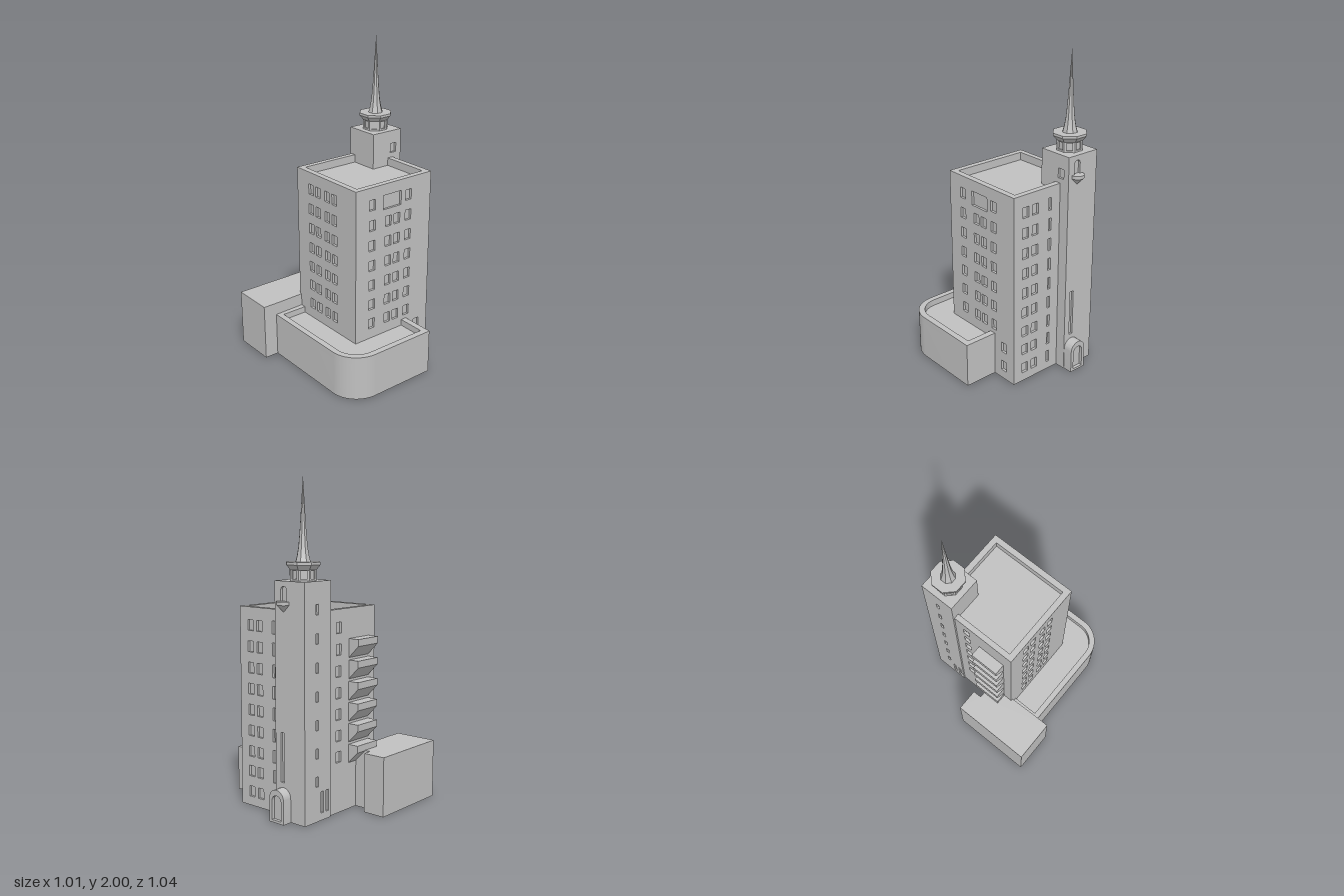
import * as THREE from 'three';
import { toCreasedNormals } from 'three/addons/utils/BufferGeometryUtils.js';

const stone = new THREE.MeshStandardMaterial({ color: 0xc0c0c0 });
stone.name = 'stone grey';
const RECESS = 0.015;
const ROWS = [1.125, 0.995, 0.865, 0.735, 0.605, 0.475, 0.345, 0.22, 0.09];

function part(parent, name, geometry) {
  const mesh = new THREE.Mesh(toCreasedNormals(geometry, 0.5), stone);
  mesh.name = name;
  parent.add(mesh);
  return mesh;
}

function box(parent, name, x0, x1, y0, y1, z0, z1) {
  const mesh = part(parent, name, new THREE.BoxGeometry(x1 - x0, y1 - y0, z1 - z0));
  mesh.position.set((x0 + x1) / 2, (y0 + y1) / 2, (z0 + z1) / 2);
  return mesh;
}

// Rectangle outline, optionally with a round top
function outline(Type, u, v, w, h, arched = false) {
  const p = new Type();
  p.moveTo(u - w / 2, v - h / 2);
  p.lineTo(u + w / 2, v - h / 2);
  if (arched) {
    p.lineTo(u + w / 2, v + h / 2 - w / 2);
    p.absarc(u, v + h / 2 - w / 2, w / 2, 0, Math.PI, false);
  } else {
    p.lineTo(u + w / 2, v + h / 2);
    p.lineTo(u - w / 2, v + h / 2);
  }
  p.closePath();
  return p;
}

const extrude = (shape, depth) =>
  new THREE.ExtrudeGeometry(shape, { depth, bevelEnabled: false, curveSegments: 16 });

// Wall sheet with openings, in its own u (across) and v (up) axes
function wallSheet(u0, u1, h, openings, depth = RECESS) {
  const shape = outline(THREE.Shape, (u0 + u1) / 2, h / 2, u1 - u0, h);
  for (const o of openings) shape.holes.push(outline(THREE.Path, ...o));
  return extrude(shape, depth);
}

// Four walls with recessed openings around a solid core
function walls(parent, name, [x0, x1, z0, z1], h, coreH, open) {
  const d = RECESS;
  box(parent, name + 'Core', x0 + d, x1 - d, 0, coreH, z0 + d, z1 - d);
  const add = (side, u0, u1, turn, x, z) => {
    const m = part(parent, name + side + 'Wall', wallSheet(u0, u1, h, open[side] || []));
    m.rotation.y = turn;
    m.position.set(x, 0, z);
  };
  add('Front', x0, x1, 0, 0, z1 - d);
  add('Back', -x1, -x0, Math.PI, 0, z0 + d);
  add('Right', -z1 + d, -z0 - d, Math.PI / 2, x1 - d, 0);
  add('Left', z0 + d, z1 - d, -Math.PI / 2, x0 + d, 0);
}

// Upright extrusion of a plan shape whose second axis is -z
function slab(parent, name, shape, y0, y1) {
  const m = part(parent, name, extrude(shape, y1 - y0).rotateX(-Math.PI / 2));
  m.position.y = y0;
  return m;
}

function roundedPlan(Type, x0, x1, z0, z1, r) {
  const p = new Type();
  p.moveTo(x1, -z0);
  p.lineTo(x0, -z0);
  p.lineTo(x0, -(z1 - r));
  p.absarc(x0 + r, -(z1 - r), r, Math.PI, Math.PI * 1.5, false);
  p.lineTo(x1, -z1);
  p.closePath();
  return p;
}

export function createModel() {
  const model = new THREE.Group();
  model.name = 'towerBuilding';
  const win = (u, v) => [u, v, 0.046, 0.066];

  // Main block with window grid
  const front = [[0.065, 1.12, 0.14, 0.09], win(-0.09, ROWS[0]), win(0.193, ROWS[0])];
  for (const y of ROWS.slice(1, 7)) {
    for (const x of [-0.09, 0.035, 0.103, 0.193]) front.push(win(x, y));
  }
  for (const y of ROWS.slice(7)) front.push(win(0.283, y));
  const right = ROWS.flatMap(y => [win(-0.214, y), win(-0.14, y), [-0.024, y, 0.022, 0.078]]);
  const left = ROWS.slice(0, 7).flatMap(y => [-0.13, -0.06, 0.03, 0.1].map(z => win(z, y)));
  const back = ROWS.slice(0, 7).map(y => win(-0.13, y));
  const block = new THREE.Group();
  block.name = 'mainBlock';
  model.add(block);
  walls(block, 'block', [-0.215, 0.375, -0.27, 0.303], 1.235, 1.185,
    { Front: front, Right: right, Left: left, Back: back });
  const rim = outline(THREE.Shape, 0.08, -0.0165, 0.56, 0.543);
  rim.holes.push(outline(THREE.Path, 0.08, -0.015, 0.514, 0.5));
  slab(block, 'roofParapet', rim, 1.185, 1.235);

  // Corner tower
  const tower = new THREE.Group();
  tower.name = 'tower';
  model.add(tower);
  const slits = Array.from({ length: 7 }, (_, i) => [-0.335, 1.25 - 0.168 * i, 0.022, 0.06]);
  slits.push([-0.29, 0.11, 0.022, 0.13], [-0.245, 0.11, 0.022, 0.13]);
  walls(tower, 'tower', [0.216, 0.443, -0.28, -0.053], 1.41, 1.41, {
    Front: [[0.38, 1.295, 0.046, 0.06]],
    Right: [[0.122, 1.335, 0.044, 0.09, true], [0.107, 0.38, 0.027, 0.3]],
    Back: slits,
  });
  box(tower, 'towerRoof', 0.22, 0.44, 1.38, 1.41, -0.277, -0.056);

  // Small balcony on a cone bracket
  const balcony = part(tower, 'balcony', new THREE.LatheGeometry(
    [[0, 1.232], [0.042, 1.274], [0.042, 1.294], [0, 1.294]].map(p => new THREE.Vector2(...p)), 32));
  balcony.position.set(0.443, 0, -0.122);

  // Arched porch with recessed doorway
  const porch = outline(THREE.Shape, 0.113, 0.1, 0.113, 0.2, true);
  const porchBack = part(tower, 'porchBody', extrude(porch, 0.05));
  const porchFace = outline(THREE.Shape, 0.113, 0.1, 0.113, 0.2, true);
  porchFace.holes.push(outline(THREE.Path, 0.113, 0.09, 0.072, 0.15, true));
  const porchFront = part(tower, 'porchArch', extrude(porchFace, 0.02));
  porchBack.rotation.y = porchFront.rotation.y = Math.PI / 2;
  porchBack.position.x = 0.435;
  porchFront.position.x = 0.485;

  // Octagonal lantern with windows, flared cornice and spire
  const lantern = new THREE.Group();
  lantern.name = 'lantern';
  lantern.position.set(0.328, 0, -0.168);
  model.add(lantern);
  const octagon = (name, points) => {
    const k = 1 / Math.cos(Math.PI / 8);
    const profile = points.map(([r, y]) => new THREE.Vector2(r * k, y));
    part(lantern, name, new THREE.LatheGeometry(profile, 8)).rotation.y = Math.PI / 8;
  };
  octagon('lanternCore', [[0.066, 1.41], [0.066, 1.48]]);
  for (let i = 0; i < 8; i++) {
    const m = part(lantern, 'lanternWindowFrame',
      wallSheet(-0.031, 0.031, 0.07, [[0, 0.033, 0.036, 0.046]], 0.01).translate(0, 0, 0.065));
    m.position.y = 1.41;
    m.rotation.y = i * Math.PI / 4;
  }
  octagon('cornice', [[0, 1.47], [0.074, 1.47], [0.097, 1.5], [0.097, 1.515], [0, 1.515]]);
  octagon('spire', [[0.043, 1.513], [0.034, 1.55], [0.026, 1.6], [0.02, 1.67],
    [0.014, 1.76], [0.008, 1.87], [0, 2]]);

  // Low front wing with one rounded corner and a parapet
  const wing = new THREE.Group();
  wing.name = 'frontWing';
  model.add(wing);
  slab(wing, 'wingBody', roundedPlan(THREE.Shape, -0.42, 0.197, -0.258, 0.52, 0.18), 0, 0.245);
  const wingRim = roundedPlan(THREE.Shape, -0.42, 0.197, -0.258, 0.52, 0.18);
  wingRim.holes.push(roundedPlan(THREE.Path, -0.383, 0.158, -0.22, 0.481, 0.143));
  slab(wing, 'wingParapet', wingRim, 0.245, 0.285);

  // Rear annex
  const annex = [[-0.51, -0.525], [0.02, -0.525], [0.02, -0.38], [-0.038, -0.38],
    [-0.038, -0.26], [-0.4, -0.25], [-0.51, -0.25]];
  slab(model, 'rearAnnex', new THREE.Shape(annex.map(([x, z]) => new THREE.Vector2(x, -z))), 0, 0.365);

  // Stacked wedge bays on the back wall
  const wedge = [[0.26, 0], [0.341, 0], [0.341, -0.042], [0.27, -0.115], [0.26, -0.115]];
  const bayShape = new THREE.Shape(wedge.map(p => new THREE.Vector2(...p)));
  for (let i = 0; i < 6; i++) {
    const bay = part(model, 'bay', extrude(bayShape, 0.19));
    bay.rotation.y = Math.PI / 2;
    bay.position.set(-0.155, 1.052 - 0.1295 * i, 0);
  }
  // Turn the profile's outward axis to the back
  return model;
}
